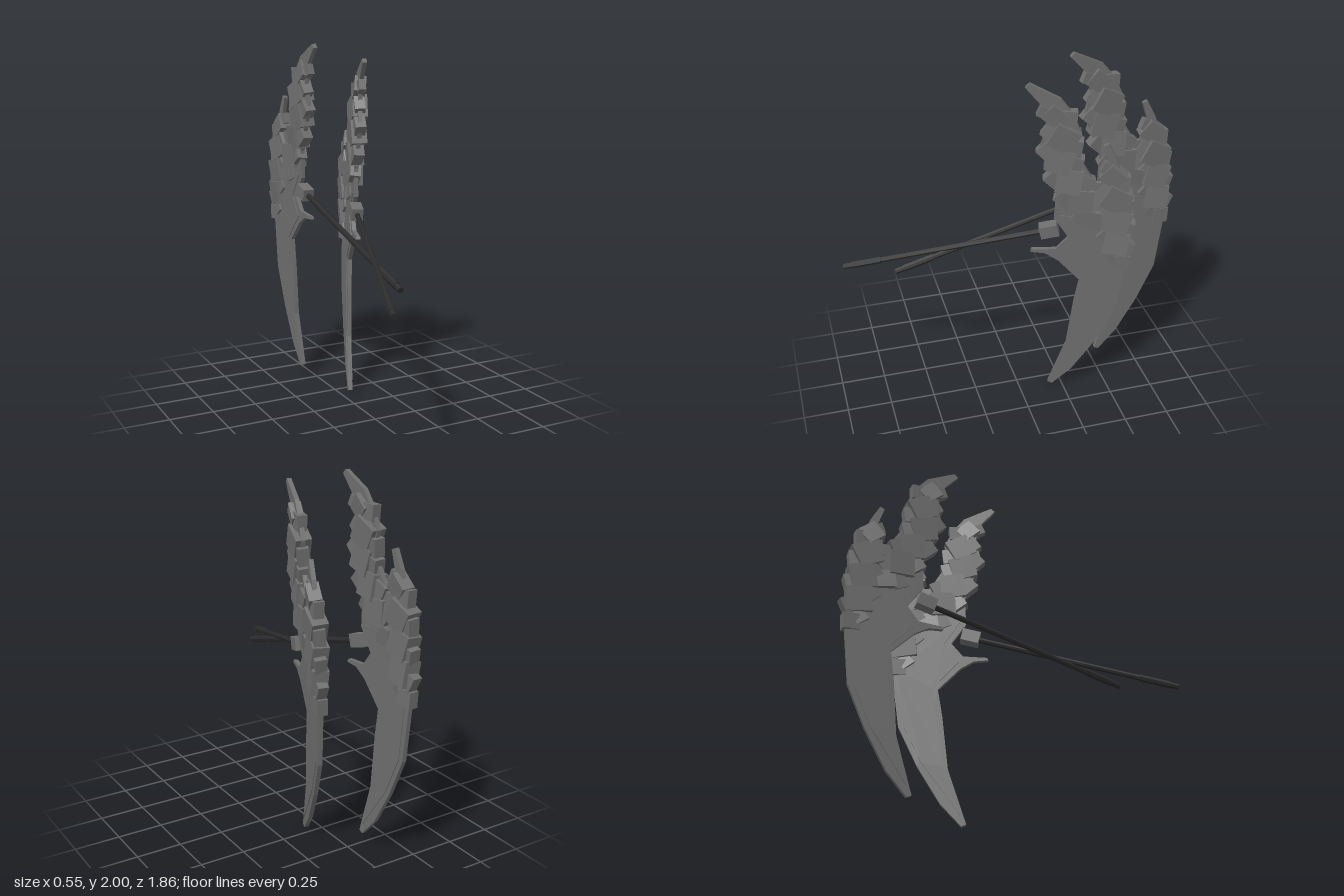
import * as THREE from 'three';

const steel = new THREE.MeshStandardMaterial({ color: 0x6e6e6e, flatShading: true });
steel.name = 'grey steel';
const grip = new THREE.MeshStandardMaterial({ color: 0x2b2b2b, flatShading: true });
grip.name = 'black handle';

const toPoints = (list) => list.map(([x, y]) => new THREE.Vector2(x, y));

// Scythe head outline: spine, twin horns, collar notch, front spur, inner edge
const HEAD = toPoints([
  [.508, .09], [.534, .08], [.64, .2], [.757, .403], [.857, .626], [.894, .944],
  [.847, 1.448], [.794, 1.597], [.746, 1.687], [.72, 1.676], [.751, 1.581], [.72, 1.459], [.688, 1.459],
  [.577, 1.639], [.603, 1.74], [.55, 1.851], [.487, 1.926], [.328, 2], [.307, 1.979],
  [.41, 1.867], [.423, 1.761], [.392, 1.65], [.492, 1.39], [.487, 1.231],
  [.571, 1.114], [.508, 1.034], [.376, 1.024], [.37, 1.008], [.45, 1.003], [.524, .96],
  [.646, .838], [.624, .679], [.598, .387],
]);
// Raised centre of the blade, inside the rim
const PANEL = toPoints([
  [.54, .14], [.735, .42], [.83, .63], [.862, .95], [.85, 1.25], [.515, 1.25],
  [.61, 1.11], [.53, 1], [.675, .845], [.655, .68], [.625, .4],
]);
// Centre lines of the stone crust
const FRONT_HORN = toPoints([[.44, 1.87], [.51, 1.75], [.5, 1.59], [.56, 1.46], [.64, 1.31], [.72, 1.21]]);
const BACK_HORN = toPoints([[.775, 1.55], [.8, 1.4], [.82, 1.25], [.83, 1.1], [.865, .97]]);

function plate(name, points, thickness) {
  const geo = new THREE.ExtrudeGeometry(new THREE.Shape(points), { depth: thickness, bevelEnabled: false });
  geo.translate(0, 0, -thickness / 2);
  const mesh = new THREE.Mesh(geo, steel);
  mesh.name = name;
  return mesh;
}

// Rough square chunks in three staggered rows along a centre line, smaller at its ends
function crust(name, line, count, spread) {
  const group = new THREE.Group();
  group.name = name;
  const curve = new THREE.SplineCurve(line);
  for (let i = 0; i < count; i++) {
    const t = i / (count - 1);
    const row = (i % 3) - 1;
    const taper = .65 + .35 * Math.min(1, 5 * t, 5 * (1 - t));
    const size = (row === 0 ? .135 : .095) * taper;
    const p = curve.getPointAt(t);
    const dir = curve.getTangentAt(t);
    const chunk = new THREE.Mesh(new THREE.BoxGeometry(size, size, (row === 0 ? .085 : .06) * taper), steel);
    chunk.position.set(p.x - dir.y * row * spread * taper, p.y + dir.x * row * spread * taper, 0);
    chunk.rotation.set(.1 * Math.sin(i * 1.7), .1 * Math.cos(i * 2.9), -.4 - .35 * Math.sin(i * 2.3));
    chunk.name = 'stoneChunk';
    group.add(chunk);
  }
  return group;
}

// Length of rod between two fractions of the handle line
const BUTT = new THREE.Vector2(-.66, .842);
const NECK = new THREE.Vector2(.5, 1.16);
const SLOPE = NECK.clone().sub(BUTT).angle();
function rod(name, from, to, radius) {
  const a = BUTT.clone().lerp(NECK, from);
  const b = BUTT.clone().lerp(NECK, to);
  const mesh = new THREE.Mesh(new THREE.CylinderGeometry(radius, radius, a.distanceTo(b), 8), grip);
  mesh.position.set((a.x + b.x) / 2, (a.y + b.y) / 2, 0);
  mesh.rotation.z = SLOPE - Math.PI / 2;
  mesh.name = name;
  return mesh;
}

function createScythe(name) {
  const scythe = new THREE.Group();
  scythe.name = name;
  scythe.add(plate('blade', HEAD, .024), plate('bladePanel', PANEL, .032));
  scythe.add(crust('frontHornCrust', FRONT_HORN, 18, .06), crust('backHornCrust', BACK_HORN, 14, .04));

  // Collar joining handle and blade
  const collar = new THREE.Mesh(new THREE.BoxGeometry(.1, .07, .065), steel);
  collar.position.set(.465, 1.152, 0);
  collar.rotation.z = SLOPE;
  collar.name = 'collar';
  scythe.add(collar);

  // Handle with thicker grip and end cap
  scythe.add(rod('handle', .03, 1, .0155), rod('handGrip', .04, .18, .02), rod('endCap', 0, .045, .0165));
  return scythe;
}

export function createModel() {
  const model = new THREE.Group();
  model.name = 'pairOfScythes';

  const right = createScythe('rightScythe');
  right.rotation.y = Math.PI / 2;
  right.position.x = -.082;

  // Second scythe is turned and leans slightly, crossing the first
  const left = createScythe('leftScythe');
  left.rotation.set(.03, 1.258, -.033, 'YXZ');
  left.position.set(-.096, -.058, .312);

  model.add(right, left);
  return model;
}
